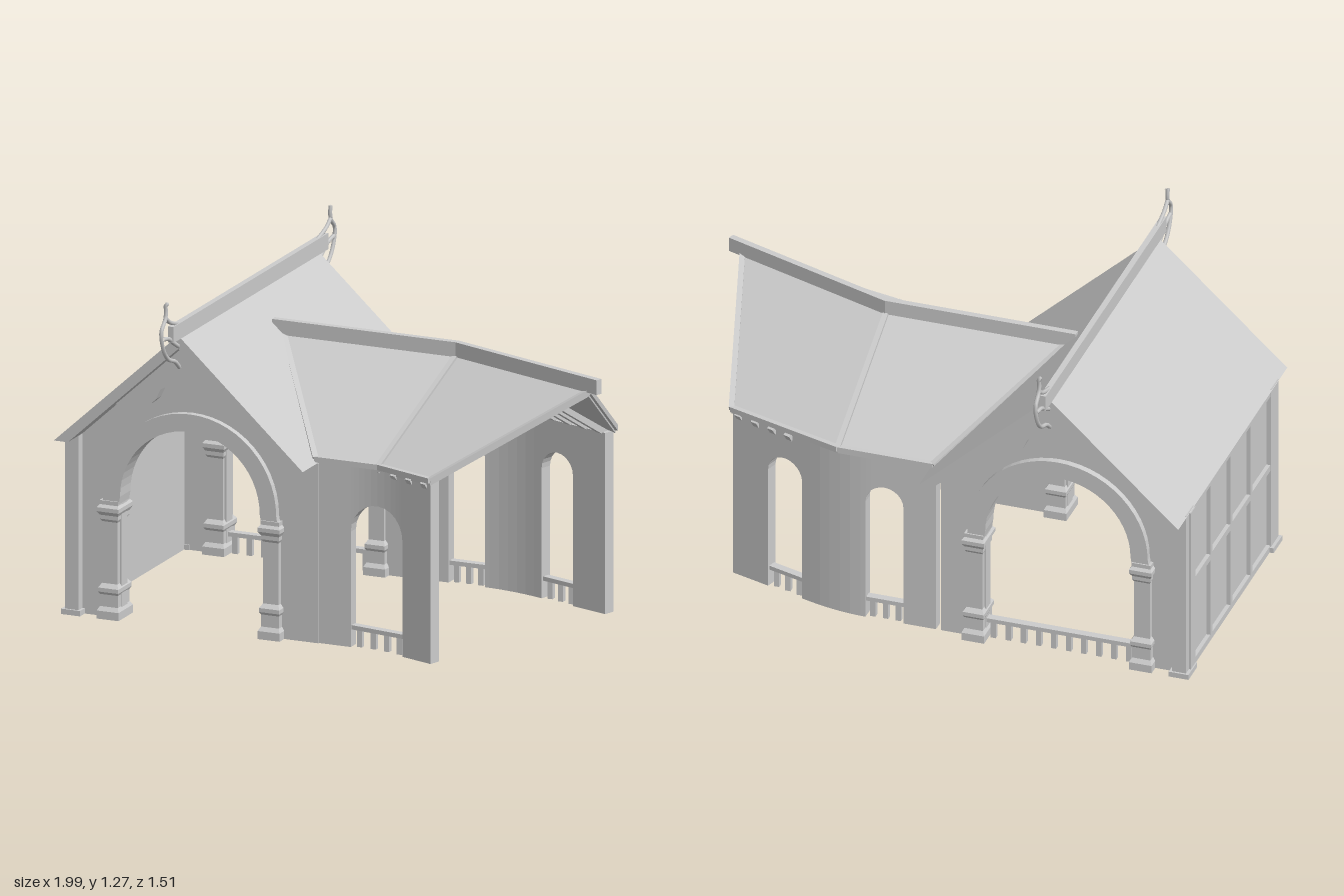
import * as THREE from 'three';
import { ConvexGeometry } from 'three/addons/geometries/ConvexGeometry.js';

const stone = new THREE.MeshStandardMaterial({ color: 0xcccccc });
stone.name = 'pale grey';
const V = (x, y, z) => new THREE.Vector3(x, y, z);

function add(parent, name, geometry) {
  const m = new THREE.Mesh(geometry, stone);
  m.name = name;
  parent.add(m);
  return m;
}

function box(parent, name, x0, x1, y0, y1, z0, z1) {
  const m = add(parent, name, new THREE.BoxGeometry(x1 - x0, y1 - y0, z1 - z0));
  m.position.set((x0 + x1) / 2, (y0 + y1) / 2, (z0 + z1) / 2);
  return m;
}

// Square bar from a to b
function beam(parent, name, a, b, w, h) {
  const m = add(parent, name, new THREE.BoxGeometry(w, h, a.distanceTo(b)));
  m.position.copy(a).add(b).multiplyScalar(0.5);
  m.lookAt(b);
  return m;
}

function slab(parent, name, top, bottom) {
  return add(parent, name, new ConvexGeometry([...top, ...bottom]));
}

// Wall swept along x; samples are [x, bottom, top], faces(x) gives its +z and -z points
function wall(parent, name, samples, faces) {
  const rings = samples.map(([x, b, t]) => {
    const [f, k] = faces(x);
    return [V(f[0], b, f[1]), V(f[0], t, f[1]), V(k[0], t, k[1]), V(k[0], b, k[1])];
  });
  const out = [];
  const tri = (a, b, c) => {
    if (new THREE.Triangle(a, b, c).getArea() > 1e-9) for (const p of [a, b, c]) out.push(p.x, p.y, p.z);
  };
  const quad = (a, b, c, d) => { tri(a, b, c); tri(a, c, d); };
  for (let i = 0; i + 1 < rings.length; i++) {
    const r = rings[i], s = rings[i + 1];
    for (let k = 0; k < 4; k++) quad(r[k], s[k], s[(k + 1) % 4], r[(k + 1) % 4]);
  }
  quad(...rings[0]);
  quad(...rings[rings.length - 1].slice().reverse());
  const g = new THREE.BufferGeometry();
  g.setAttribute('position', new THREE.Float32BufferAttribute(out, 3));
  g.computeVertexNormals();
  return add(parent, name, g);
}

// Underside of a round-headed opening as [x, y] points
function opening(cx, r, spring, n = 12) {
  const pts = [[cx - r, 0]];
  for (let i = 0; i <= n; i++) {
    const a = Math.PI * i / n;
    pts.push([cx - r * Math.cos(a), spring + r * Math.sin(a)]);
  }
  return [...pts, [cx + r, 0]];
}

function balustrade(parent, path, x0, x1, n) {
  const at = (x, y) => V(path(x)[0], y, path(x)[1]);
  beam(parent, 'balustradeRail', at(x0, 0.072), at(x1, 0.072), 0.03, 0.016);
  for (let i = 0; i < n; i++) {
    const x = x0 + (x1 - x0) * (i + 0.5) / n;
    beam(parent, 'baluster', at(x, 0), at(x, 0.066), 0.02, 0.02);
  }
}

// Underside height of the hall roof
const gable = x => Math.max(0.67, 0.67 + 0.4 * (1 - Math.abs(x + 0.5) / 0.435));

function hallFront() {
  const g = new THREE.Group();
  g.name = 'archedGable';
  // Gable wall with the large arch
  const arch = opening(-0.5, 0.28, 0.46, 16).map(([x, y]) => [x, y, gable(x)]);
  wall(g, 'gableWall', [[-0.95, 0, 0.67], [-0.935, 0, 0.67], ...arch, [-0.065, 0, 0.67], [-0.005, 0, 0.67]],
    x => [[x, 0.475], [x, 0.425]]);
  // Wavy board under the verge
  const wave = [];
  for (let i = 0; i <= 32; i++) {
    const u = -0.285 + 0.57 * i / 32, d = Math.abs(u);
    const b = d < 0.12 ? 0.845 + Math.sqrt(0.0178 - d * d) * 0.5 : 0.805 + 0.07 * ((d - 0.2) / 0.085) ** 2 * (d < 0.2 ? 0.75 : 0.1);
    wave.push([u - 0.5, Math.min(b, gable(u - 0.5)), gable(u - 0.5)]);
  }
  wall(g, 'wavyBoard', wave, x => [[x, 0.52], [x, 0.47]]);
  // Arch moulding
  const s = new THREE.Shape();
  s.absarc(-0.5, 0.46, 0.34, 0, Math.PI, false);
  s.lineTo(-0.845, 0.43);
  s.lineTo(-0.78, 0.43);
  s.absarc(-0.5, 0.46, 0.275, Math.PI, 0, true);
  s.lineTo(-0.22, 0.43);
  s.lineTo(-0.155, 0.43);
  add(g, 'archMoulding', new THREE.ExtrudeGeometry(s, { depth: 0.09, bevelEnabled: false, curveSegments: 14 })).position.z = 0.41;
  // Columns with stepped base and capital: half width, height
  const profile = [[0, 0], [0.043, 0], [0.043, 0.03], [0.035, 0.045], [0.035, 0.09], [0.04, 0.1], [0.04, 0.115], [0.03, 0.13],
    [0.03, 0.36], [0.035, 0.37], [0.035, 0.385], [0.043, 0.4], [0.043, 0.415], [0.036, 0.425], [0.036, 0.44], [0, 0.44]];
  const col = new THREE.LatheGeometry(profile.map(([r, y]) => new THREE.Vector2(r * Math.SQRT2, y)), 4)
    .rotateY(Math.PI / 4).scale(1, 1, 1.45).toNonIndexed();
  col.computeVertexNormals();
  for (const x of [-0.817, -0.183]) add(g, 'column', col).position.set(x, 0, 0.453);
  // Finial of forked branches
  const horns = [
    [[0.59, 1.0], [0.627, 1.03], [0.687, 1.055], [0.727, 1.1], [0.745, 1.17], [0.71, 1.21], [0.705, 1.245], [0.71, 1.262], [0.695, 1.262]],
    [[0.58, 1.16], [0.635, 1.175], [0.675, 1.19], [0.71, 1.215]],
    [[0.58, 1.07], [0.635, 1.1], [0.685, 1.13], [0.735, 1.14]]];
  for (const h of horns) {
    const c = new THREE.CatmullRomCurve3(h.map(([z, y]) => V(-0.5, y, z)));
    add(g, 'finialBranch', new THREE.TubeGeometry(c, 20, 0.008, 6));
  }
  return g;
}

function hall(root) {
  const g = new THREE.Group();
  g.name = 'hall';
  root.add(g);
  const front = hallFront(), back = hallFront();
  back.rotation.y = Math.PI;
  back.position.x = -1;
  g.add(front, back);
  balustrade(g, x => [x, -0.455], -0.785, -0.215, 10);
  // Roof slopes; the wing side is notched where the wing opens in
  const outer = (s, z, t) => V(-0.5 + s * 0.49 * (1 - t), 0.67 + 0.45 * t, z);
  const inner = (s, z, t) => V(-0.5 + s * 0.435 * (1 - t), 0.67 + 0.4 * t, z);
  const slope = (s, pts) => slab(g, 'hallRoof', pts.map(p => outer(s, ...p)), pts.map(p => inner(s, ...p)));
  slope(-1, [[-0.6, 0], [0.6, 0], [0.6, 1], [-0.6, 1]]);
  for (const k of [1, -1]) slope(1, [[0.6 * k, 0], [0.44 * k, 0], [0, 0.62], [0, 1], [0.6 * k, 1]]);
  box(g, 'ridgeBeam', -0.511, -0.489, 1.11, 1.17, -0.665, 0.665);
  // Lattice under the roof
  for (let i = -3; i <= 3; i++) beam(g, 'hallRafter', inner(-1, i * 0.117, 0), inner(-1, i * 0.117, 1), 0.02, 0.025);
  for (const t of [0.05, 0.33, 0.66]) beam(g, 'purlin', inner(-1, -0.44, t), inner(-1, 0.44, t), 0.025, 0.025);
  // Closed side wall with outside framing
  box(g, 'sideWall', -0.97, -0.945, 0, 0.67, -0.45, 0.45);
  for (const z of [-0.22, 0.0, 0.22]) box(g, 'wallStud', -0.985, -0.965, 0, 0.67, z - 0.012, z + 0.012);
  for (const y of [0, 0.335, 0.645]) box(g, 'wallRail', -0.985, -0.965, y, y + 0.025, -0.44, 0.44);
  for (const k of [1, -1]) {
    box(g, 'cornerPost', -0.988, -0.935, 0, 0.675, k * 0.468 - 0.04, k * 0.468 + 0.04);
    box(g, 'postBase', -1, -0.925, 0, 0.02, k * 0.468 - 0.048, k * 0.468 + 0.048);
  }
}

// Line that bends smoothly between x0 and x1 to the given slope
const bent = (z0, x0, x1, slope) => x => {
  const u = Math.min(Math.max(x - x0, 0), x1 - x0), w = x1 - x0;
  return { z: z0 + slope * u * u / (2 * w) + slope * Math.max(x - x1, 0), s: slope * u / w };
};

function wing(root) {
  const g = new THREE.Group();
  g.name = 'wing';
  root.add(g);
  const offset = (path, d) => x => {
    const { z, s } = path(x), l = Math.hypot(1, s);
    return [x - s / l * d, z + d / l];
  };
  // Bent side walls with arched openings: outer line, inward side, end, openings
  const sides = [
    { path: bent(0.47, 0.12, 0.34, 0.333), dir: -1, end: 0.47, holes: [[0.23, 0.11, 0.43, 4]] },
    { path: bent(-0.475, 0.22, 0.46, 0.311), dir: 1, end: 0.785, holes: [[0.165, 0.072, 0.48, 3], [0.565, 0.072, 0.485, 3]] }];
  for (const { path, dir, end, holes } of sides) {
    const near = offset(path, 0), far = offset(path, dir * 0.045);
    let samples = [];
    for (let i = 0; i <= 20; i++) {
      const x = -0.03 + (end + 0.03) * i / 20;
      if (!holes.some(([c, r]) => Math.abs(x - c) <= r)) samples.push([x, 0, 0.675]);
    }
    for (const [c, r, spring, n] of holes) {
      const i = samples.findIndex(s => s[0] > c);
      const hole = opening(c, r, spring).map(([x, y]) => [x, y, 0.675]);
      samples.splice(i < 0 ? samples.length : i, 0, ...hole);
      balustrade(g, offset(path, dir * 0.022), c - r, c + r, n);
    }
    wall(g, 'wingWall', samples, x => dir < 0 ? [near(x), far(x)] : [far(x), near(x)]);
  }
  // Roof: two panels on each slope, ending in a prow
  const top = V(-0.36, 0.985, 0), mid = V(0.32, 0.985, 0), tip = V(0.94, 0.985, 0.215);
  const eaves = [
    [V(-0.02, 0.685, 0.47), V(0.23, 0.685, 0.47), V(0.47, 0.685, 0.555)],
    [V(-0.02, 0.685, -0.48), V(0.34, 0.685, -0.48), V(0.79, 0.685, -0.34)]];
  const drop = (p, d) => V(p.x, p.y - d, p.z);
  for (const [a, b, c] of eaves) {
    for (const q of [[top, a, b, mid], [mid, b, c, tip]]) slab(g, 'wingRoof', q, q.map(p => drop(p, 0.02)));
    for (const [p, q] of [[a, b], [b, c], [c, tip], [b, mid], [a, top]]) beam(g, 'roofTrim', p, q, 0.02, 0.02);
    // Rafters under the open end
    const along = tip.clone().sub(mid).normalize();
    for (let i = 0; i < 4; i++) {
      const foot = c.clone().addScaledVector(along, -0.03 - i * 0.075);
      const reach = foot.clone().sub(mid).dot(along);
      const head = mid.clone().addScaledVector(along, Math.max(reach, 0.02));
      beam(g, 'wingRafter', drop(foot, 0.03), drop(head, 0.03), 0.025, 0.03);
    }
  }
  beam(g, 'wingRidge', V(-0.4, 1.012, 0), V(0.325, 1.012, 0), 0.025, 0.055);
  beam(g, 'wingRidge', V(0.318, 1.012, -0.002), V(0.99, 1.012, 0.235), 0.025, 0.055);
}

export function createModel() {
  const root = new THREE.Group();
  root.name = 'pavilion';
  hall(root);
  wing(root);
  return root;
}
